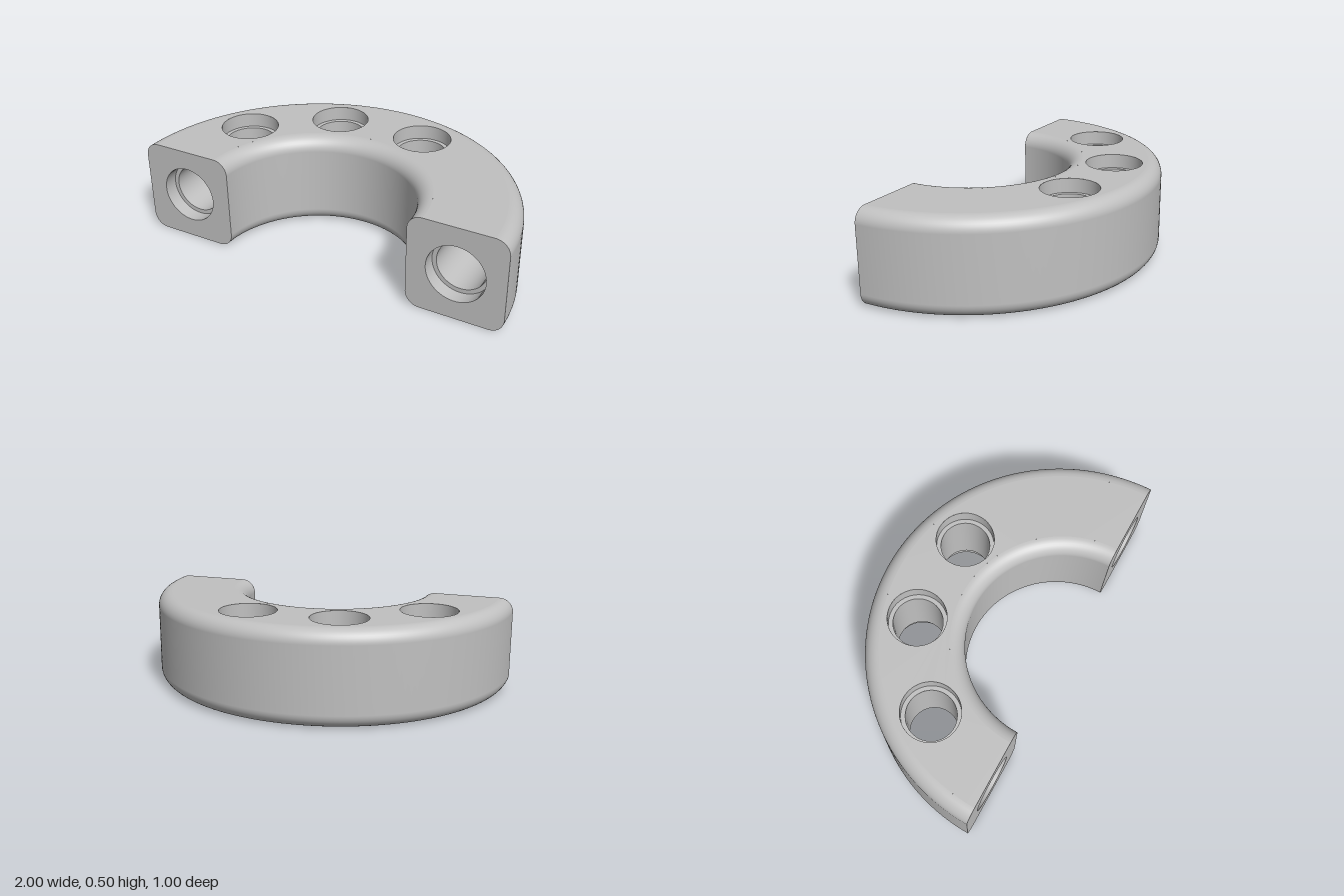
import * as THREE from 'three';

const INNER = 0.5, OUTER = 1, HEIGHT = 0.5, FILLET = 0.075, MID = 0.75;
const MOUTH = 0.15, BORE = 0.1275, RECESS = 0.075; // hole radii and recess depth
const END_Z = 0.5, BORE_END = 0.1;                 // end faces and bottom of the end bores
const SEG = 64;

// Smooth surface from a rule over u, v in 0..1
function surface(rule, nu, nv) {
  const pos = [], index = [];
  for (let i = 0; i <= nu; i++)
    for (let j = 0; j <= nv; j++) pos.push(...rule(i / nu, j / nv));
  for (let i = 0; i < nu; i++)
    for (let j = 0; j < nv; j++) {
      const a = i * (nv + 1) + j, b = a + nv + 1;
      index.push(a, b, a + 1, b, b + 1, a + 1);
    }
  const g = new THREE.BufferGeometry();
  g.setAttribute('position', new THREE.Float32BufferAttribute(pos, 3));
  g.setIndex(index);
  g.computeVertexNormals();
  return g;
}

export function createModel() {
  const model = new THREE.Group();
  model.name = 'halfRing';
  const grey = new THREE.MeshStandardMaterial({ color: 0xc0c0c0, side: THREE.DoubleSide });
  grey.name = 'grey';

  const add = (name, geometry, parent = model) => {
    const mesh = new THREE.Mesh(geometry, grey);
    mesh.name = name;
    parent.add(mesh);
    return mesh;
  };

  // Vertical holes, spaced along the middle of the ring
  const holes = [33, 71, 109].map((deg) => {
    const a = THREE.MathUtils.degToRad(deg);
    return { x: -MID * Math.cos(a), z: END_Z - MID * Math.sin(a) };
  });

  // Flat top and bottom faces
  const plan = new THREE.Shape();
  plan.absarc(0, 0, OUTER - FILLET, 0, Math.PI, false);
  plan.absarc(0, 0, INNER + FILLET, Math.PI, 0, true);
  plan.closePath();
  for (const h of holes)
    plan.holes.push(new THREE.Path().absarc(h.x, END_Z - h.z, MOUTH, 0, Math.PI * 2, true));
  for (const [name, y] of [['topFace', HEIGHT], ['bottomFace', 0]]) {
    add(name, new THREE.ShapeGeometry(plan, SEG).rotateX(-Math.PI / 2).translate(0, y, END_Z));
  }

  // Curved walls with rounded edges; side +1 is outer, -1 is inner
  const wall = (name, radius, side) => {
    const pts = [];
    for (const [cy, start] of [[FILLET, -90], [HEIGHT - FILLET, 0]])
      for (let i = 0; i <= 10; i++) {
        const a = THREE.MathUtils.degToRad(start + i * 9);
        pts.push(new THREE.Vector2(
          radius + side * FILLET * (Math.cos(a) - 1), cy + FILLET * Math.sin(a)));
      }
    if (side < 0) pts.reverse();
    add(name, new THREE.LatheGeometry(pts, 96, Math.PI / 2, Math.PI).translate(0, 0, END_Z));
  };
  wall('outerWall', OUTER, 1);
  wall('innerWall', INNER, -1);

  // Rounded square end faces with a round opening
  const w = (OUTER - INNER) / 2, c = w - FILLET;
  const end = new THREE.Shape();
  [[c, c], [-c, c], [-c, -c], [c, -c]].forEach(([x, y], i) =>
    end.absarc(x, y, FILLET, i * Math.PI / 2, (i + 1) * Math.PI / 2, false));
  end.closePath();
  end.holes.push(new THREE.Path().absarc(0, 0, MOUTH, 0, Math.PI * 2, true));
  for (const [name, x] of [['leftEndFace', MID], ['rightEndFace', -MID]])
    add(name, new THREE.ShapeGeometry(end, 32).translate(x, HEIGHT / 2, END_Z));

  // Shallow wider recess at the mouth of a hole, going down from its origin
  const recess = (name, x, y, z, tilt) => {
    const group = new THREE.Group();
    group.name = name;
    add('recessWall', new THREE.CylinderGeometry(MOUTH, MOUTH, RECESS, SEG, 1, true)
      .translate(0, -RECESS / 2, 0), group);
    add('recessLedge', new THREE.RingGeometry(BORE, MOUTH, SEG)
      .rotateX(-Math.PI / 2).translate(0, -RECESS, 0), group);
    group.position.set(x, y, z);
    group.rotation.x = tilt;
    model.add(group);
  };
  for (const h of holes) {
    recess('topRecess', h.x, HEIGHT, h.z, 0);
    recess('bottomRecess', h.x, 0, h.z, Math.PI);
  }
  for (const x of [MID, -MID]) recess('endRecess', x, HEIGHT / 2, END_Z, Math.PI / 2);

  // Plain vertical bores
  for (const h of holes.slice(1))
    add('verticalBore', new THREE.CylinderGeometry(BORE, BORE, HEIGHT - 2 * RECESS, SEG, 1, true)
      .translate(h.x, HEIGHT / 2, h.z));

  // Blind bore in the left end
  const mouthZ = END_Z - RECESS;
  add('leftEndBore', new THREE.CylinderGeometry(BORE, BORE, mouthZ - BORE_END, SEG, 1, true)
    .rotateX(Math.PI / 2).translate(MID, HEIGHT / 2, (mouthZ + BORE_END) / 2));
  add('leftBoreBottom', new THREE.CircleGeometry(BORE, SEG).translate(MID, HEIGHT / 2, BORE_END));

  // Right end bore, which breaks into the first vertical bore
  const h = holes[0], midY = HEIGHT / 2;
  const edgeX = h.x - Math.sqrt(BORE ** 2 - (BORE_END - h.z) ** 2);
  add('rightEndBore', surface((u, v) => {
    const t = u * Math.PI * 2, x = -MID + BORE * Math.cos(t);
    const stop = x > edgeX
      ? Math.max(BORE_END, h.z + Math.sqrt(Math.max(0, BORE ** 2 - (x - h.x) ** 2))) : BORE_END;
    return [x, midY + BORE * Math.sin(t), THREE.MathUtils.lerp(mouthZ, stop, v)];
  }, SEG, 1));

  // Remaining part of that bore's flat bottom
  const cut = Math.acos((edgeX + MID) / BORE);
  const segment = new THREE.Shape();
  segment.absarc(0, 0, BORE, cut, Math.PI * 2 - cut, false);
  segment.closePath();
  add('rightBoreBottom', new THREE.ShapeGeometry(segment, 48).translate(-MID, midY, BORE_END));

  // First vertical bore: full wall, then the wall above and below the opening
  const from = Math.acos((BORE - MID - h.x) / BORE);
  const to = Math.PI - Math.asin((BORE_END - h.z) / BORE);
  const onBore = (t, y) => [h.x + BORE * Math.cos(t), y, h.z + BORE * Math.sin(t)];
  add('crossedBoreWall', surface((u, v) => onBore(
    THREE.MathUtils.lerp(to, from + Math.PI * 2, u),
    THREE.MathUtils.lerp(RECESS, HEIGHT - RECESS, v)), 48, 1));
  for (const side of [1, -1])
    add('openingWall', surface((u, v) => {
      const t = THREE.MathUtils.lerp(from, to, u * u);
      const dx = h.x + BORE * Math.cos(t) + MID;
      const gap = Math.sqrt(Math.max(0, BORE ** 2 - dx * dx));
      return onBore(t, midY + side * THREE.MathUtils.lerp(gap, midY - RECESS, v));
    }, 32, 1));

  return model;
}
